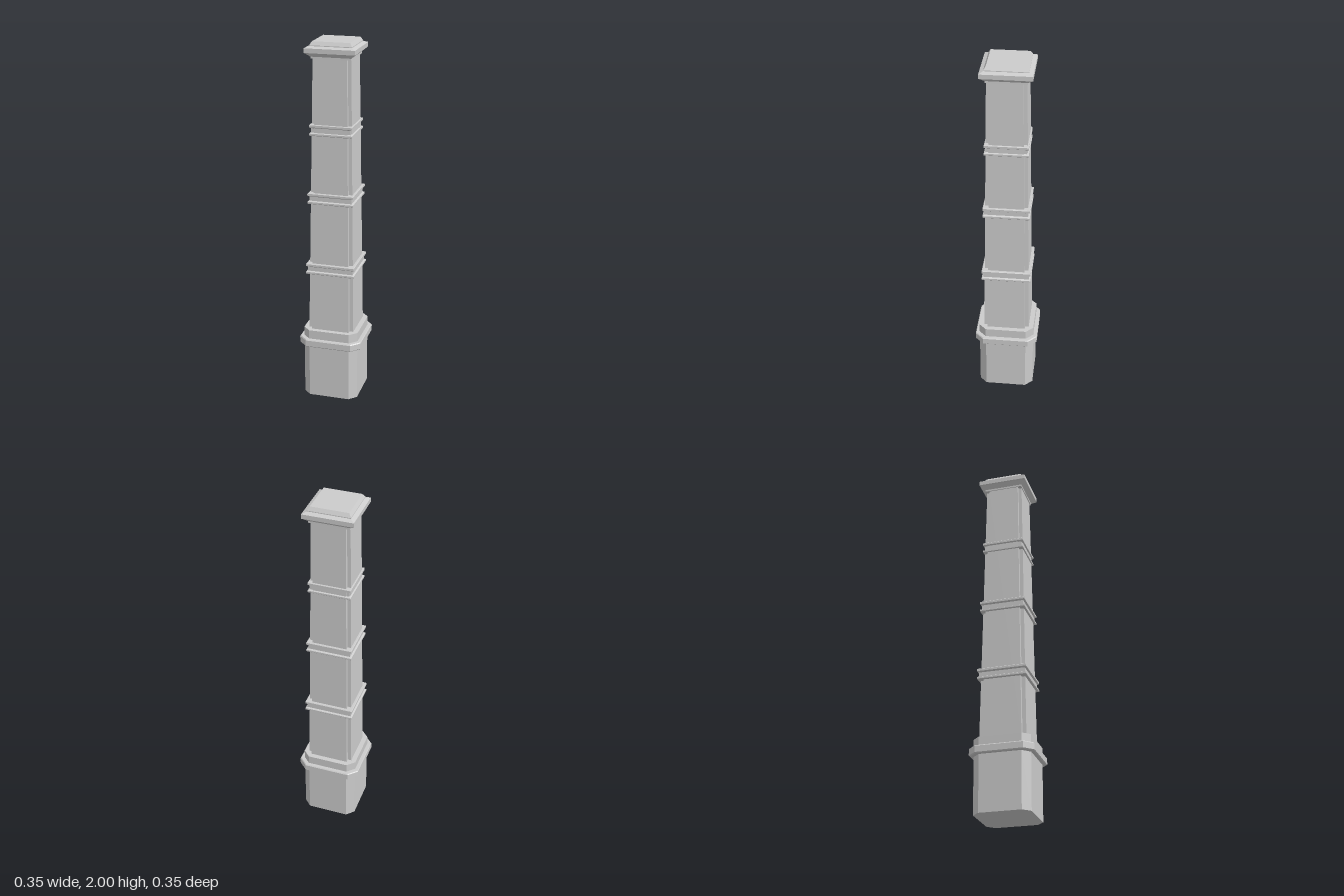
import * as THREE from 'three';

const material = new THREE.MeshStandardMaterial({ color: 0xcccccc, flatShading: true });

// Cross-section corner points for the +x/+z quadrant, from the +x side round to +z
const square = (h) => [[h, h]];
const chamfered = (h, c) => [[h, h - c], [h - c, h]];
const notched = (h, n) => [[h, h - n], [h - n, h - n], [h - n, h]];

// Repeat a corner four times about y to make a closed ring
function ring(corner) {
  const pts = [];
  for (let q = 0; q < 4; q++) {
    for (const [x, z] of corner) {
      let p = [x, z];
      for (let i = 0; i < q; i++) p = [-p[1], p[0]];
      pts.push(p);
    }
  }
  return pts;
}

// Skin stacked sections [y, corner] and close both ends
function loft(name, sections) {
  const rings = sections.map(([y, corner]) => ring(corner).map(([x, z]) => [x, y, z]));
  const n = rings[0].length;
  const pos = [];
  const tri = (a, b, c) => pos.push(...a, ...b, ...c);
  for (let s = 0; s < rings.length - 1; s++) {
    for (let i = 0; i < n; i++) {
      const j = (i + 1) % n;
      const [a, b, c, d] = [rings[s][i], rings[s][j], rings[s + 1][j], rings[s + 1][i]];
      tri(a, c, b);
      tri(a, d, c);
    }
  }
  const bottom = rings[0], top = rings[rings.length - 1];
  const c0 = [0, bottom[0][1], 0], c1 = [0, top[0][1], 0];
  for (let i = 0; i < n; i++) {
    const j = (i + 1) % n;
    tri(c0, bottom[i], bottom[j]);
    tri(c1, top[j], top[i]);
  }
  const geometry = new THREE.BufferGeometry();
  geometry.setAttribute('position', new THREE.Float32BufferAttribute(pos, 3));
  geometry.computeVertexNormals();
  const mesh = new THREE.Mesh(geometry, material);
  mesh.name = name;
  return mesh;
}

export function createModel() {
  const group = new THREE.Group();
  group.name = 'pillar';

  // Chamfered base, its projecting band and the step above
  group.add(loft('base', [[0, chamfered(0.153, 0.04)], [0.31, chamfered(0.153, 0.04)]]));
  group.add(loft('baseBand', [
    [0.307, chamfered(0.17, 0.045)], [0.312, chamfered(0.175, 0.047)],
    [0.345, chamfered(0.175, 0.047)], [0.35, chamfered(0.171, 0.045)],
  ]));
  group.add(loft('baseStep', [[0.35, chamfered(0.154, 0.04)], [0.4, chamfered(0.154, 0.04)]]));

  // Tapering shaft with notched corners
  group.add(loft('shaft', [[0.4, notched(0.127, 0.021)], [1.93, notched(0.103, 0.018)]]));

  // Square double mouldings round the shaft
  for (const [y, h] of [[0.73, 0.135], [1.132, 0.126], [1.506, 0.116]]) {
    group.add(loft('shaftMoulding', [
      [y, square(h - 0.003)], [y + 0.003, square(h)], [y + 0.012, square(h)],
      [y + 0.017, square(h - 0.009)], [y + 0.04, square(h - 0.009)],
      [y + 0.046, square(h)], [y + 0.057, square(h)], [y + 0.06, square(h - 0.003)],
    ]));
  }

  // Flared cap moulding with a bevelled top block
  group.add(loft('cap', [
    [1.912, square(0.108)], [1.922, square(0.108)], [1.94, square(0.129)],
    [1.944, square(0.135)], [1.968, square(0.135)], [1.977, square(0.113)],
    [1.981, square(0.113)], [2.0, square(0.101)],
  ]));

  return group;
}
